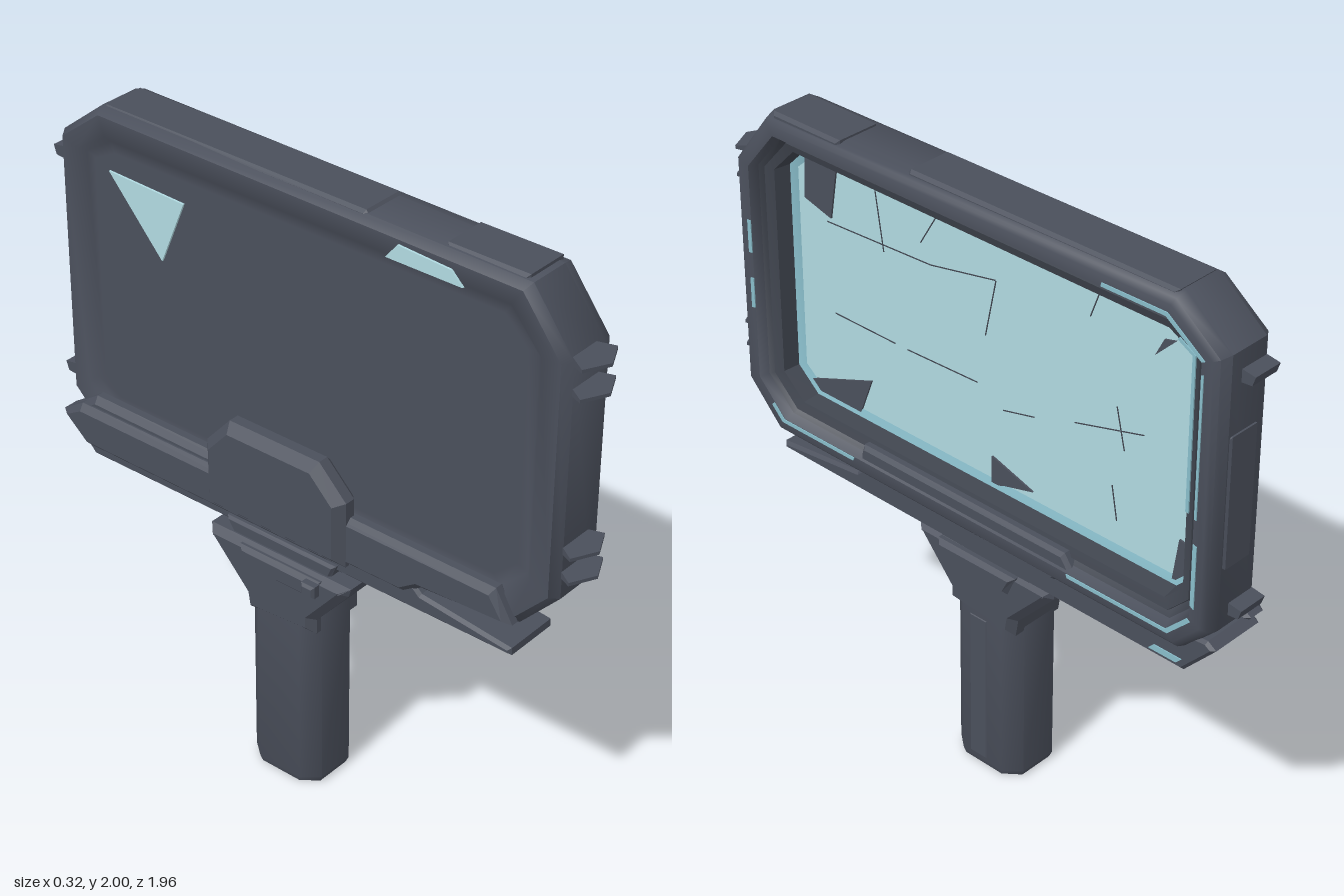
import * as THREE from 'three';
import { toCreasedNormals } from 'three/addons/utils/BufferGeometryUtils.js';

const material = (name, color) => {
  const m = new THREE.MeshStandardMaterial({ color });
  m.name = name;
  return m;
};

// Outlines of the display, as [s, y] with s = -z, counter-clockwise seen from +x
const OUTER = [[-0.77, 0.9], [0.83, 0.9], [0.93, 1.0], [0.93, 1.87], [0.77, 1.995], [-0.76, 1.975], [-0.9, 1.79], [-0.9, 1.04]];
const INNER = [[-0.68, 1.03], [0.74, 1.03], [0.8, 1.09], [0.8, 1.82], [0.72, 1.86], [-0.68, 1.86], [-0.76, 1.78], [-0.76, 1.1]];
const mix = (a, b, t) => [a[0] + (b[0] - a[0]) * t, a[1] + (b[1] - a[1]) * t];
const ring = (t) => OUTER.map((p, i) => mix(p, INNER[i], t));
// Point at a fractional corner number k, on the ring t
const along = (k, t) => {
  const r = ring(t), i = Math.floor(k);
  return mix(r[i % 8], r[(i + 1) % 8], k - i);
};

// Skin over a series of closed rings, with optional end caps
function loft(rings, capStart, capEnd, crease = 0.7) {
  const pos = [];
  const tri = (...pts) => pts.forEach((p) => pos.push(...p));
  const n = rings[0].length;
  for (let j = 0; j < rings.length - 1; j++) {
    for (let i = 0; i < n; i++) {
      const k = (i + 1) % n, a = rings[j], b = rings[j + 1];
      tri(a[i], a[k], b[k]);
      tri(a[i], b[k], b[i]);
    }
  }
  const last = rings[rings.length - 1];
  for (let i = 1; i < n - 1; i++) {
    if (capStart) tri(rings[0][0], rings[0][i + 1], rings[0][i]);
    if (capEnd) tri(last[0], last[i], last[i + 1]);
  }
  const g = new THREE.BufferGeometry();
  g.setAttribute('position', new THREE.Float32BufferAttribute(pos, 3));
  g.computeVertexNormals();
  return toCreasedNormals(g, crease);
}

// Side outline [s, y] extruded from x0 to x1
function slab(points, x0, x1, bevel = 0) {
  const shape = new THREE.Shape(points.map((p) => new THREE.Vector2(...p)));
  const g = new THREE.ExtrudeGeometry(shape, {
    depth: x1 - x0 - 2 * bevel, bevelEnabled: bevel > 0, bevelThickness: bevel,
    bevelSize: bevel, bevelOffset: -bevel, bevelSegments: 1,
  });
  return g.translate(0, 0, x0 + bevel).rotateY(Math.PI / 2);
}

const rect = (s0, y0, s1, y1) => [[s0, y0], [s1, y0], [s1, y1], [s0, y1]];

export function createModel() {
  const model = new THREE.Group();
  model.name = 'handheldDisplay';
  const casing = material('slate casing', 0x4a4f5b);
  const dark = material('dark recess', 0x40454f);
  const glass = material('pale glass', 0xb0d9e0);
  const trim = material('cyan trim', 0x88bcc9);
  const add = (name, geometry, mat) => {
    const mesh = new THREE.Mesh(geometry, mat);
    mesh.name = name;
    model.add(mesh);
  };

  // Frame: profile [t, x] from the back panel round the outside to the bezel
  const profile = [[1, -0.035], [0.75, -0.035], [0.6, -0.055], [0.15, -0.055], [0, -0.025], [0, 0.11], [0.08, 0.145],
    [0.2, 0.158], [0.48, 0.158], [0.58, 0.13]];
  const toRing = ([t, x]) => ring(t).map(([s, y]) => [x, y, -s]);
  add('frame', loft(profile.map(toRing), true, false, 0.9), casing);
  add('innerBezel', loft([[0.58, 0.13], [0.7, 0.11], [0.72, 0.125], [0.94, 0.115], [1, 0.05]].map(toRing), false, false), dark);

  // Screen with a tinted border
  add('screen', slab(ring(1), 0.04, 0.05), glass);
  add('screenBorder', loft([[0.99, 0.06], [1.18, 0.052]].map(toRing), false, false), trim);

  // Broken corners and dark cracks on the screen
  const patches = [
    [[-0.76, 1.05], [-0.66, 1.03], [-0.5, 1.04], [-0.45, 1.17]],
    [[-0.71, 1.69], [-0.6, 1.66], [-0.57, 1.84], [-0.7, 1.85]],
    [[0.72, 1.04], [0.78, 1.05], [0.8, 1.17], [0.74, 1.18]],
    [[0.04, 1.03], [0.09, 1.05], [0.2, 1.08], [0.04, 1.13]],
    [[0.63, 1.72], [0.7, 1.79], [0.66, 1.78]],
  ];
  patches.forEach((p) => add('screenPatch', slab(p, 0.048, 0.056), casing));
  const cracks = [
    [-0.42, 1.82, -0.39, 1.63], [-0.62, 1.64, -0.2, 1.66], [-0.2, 1.66, 0.05, 1.71], [0.05, 1.71, 0.01, 1.52],
    [-0.6, 1.34, -0.35, 1.34], [-0.3, 1.34, -0.02, 1.35], [0.08, 1.3, 0.2, 1.33], [0.35, 1.38, 0.6, 1.45],
    [0.5, 1.5, 0.53, 1.37], [0.49, 1.24, 0.51, 1.13], [0.4, 1.74, 0.44, 1.85], [-0.18, 1.82, -0.24, 1.72],
  ];
  cracks.forEach(([s0, y0, s1, y1]) => {
    const len = Math.hypot(s1 - s0, y1 - y0), w = 0.003;
    const ds = -(y1 - y0) / len * w, dy = (s1 - s0) / len * w;
    add('crack', slab([[s0, y0], [s1, y1], [s1 + ds, y1 + dy], [s0 + ds, y0 + dy]], 0.048, 0.052), dark);
  });

  // Cyan strips set into the frame: corner numbers from, to, ring, width, front x
  const strips = [
    [3.0, 4.15, 0.38, 0.09, 0.161], [2.05, 2.3, 0.36, 0.1, 0.161], [2.4, 2.95, 0.4, 0.06, 0.161], [0.76, 1.9, 0.38, 0.09, 0.161],
    [7.6, 8.2, 0.38, 0.09, 0.161], [6.25, 6.4, 0.38, 0.1, 0.161], [6.52, 6.66, 0.38, 0.1, 0.161], [2.35, 3.6, 0.84, 0.08, 0.124],
  ];
  strips.forEach(([k0, k1, t, width, x]) => {
    const ks = [k0];
    for (let k = Math.floor(k0) + 1; k < k1; k++) ks.push(k);
    ks.push(k1);
    const outline = [...ks.map((k) => along(k, t)), ...ks.reverse().map((k) => along(k, t + width))];
    add('trimStrip', slab(outline, x - 0.008, x), trim);
  });

  // Armour plates on the edges of the frame
  add('topPlate', slab([[-0.25, 1.94], [0.74, 1.94], [0.76, 1.998], [-0.2, 1.99]], -0.03, 0.13, 0.01), casing);
  add('topFrontPlate', slab(rect(-0.74, 1.92, -0.47, 1.985), -0.02, 0.14, 0.01), casing);
  add('rearPlate', slab(rect(0.86, 1.2, 0.936, 1.62), -0.01, 0.11, 0.01), casing);
  add('bottomLip', slab([[-0.42, 0.94], [-0.38, 0.91], [0.36, 0.9], [0.45, 0.94], [0.4, 1.01], [-0.4, 1.01]], 0.05, 0.15, 0.012), casing);

  // Ledge beneath the display, tapering to a blade at the front
  add('lowerLedge', slab([[-0.78, 0.815], [0.82, 0.81], [0.93, 0.93], [0.9, 0.95], [0.4, 0.92], [-0.4, 0.93],
    [-0.46, 0.875], [-0.78, 0.84]], -0.08, 0.12, 0.01), casing);
  add('ledgeTrim', slab([[0.7, 0.83], [0.8, 0.83], [0.82, 0.85], [0.72, 0.85]], 0.116, 0.123), trim);

  // Back rail and bracket, softly stepped toward the middle
  add('backRail', slab([[-0.78, 0.92], [-0.46, 0.9], [-0.4, 0.86], [0.84, 0.86], [0.92, 0.95], [0.8, 1.03], [-0.72, 1.02]], -0.095, -0.03, 0.02), casing);
  add('rearRail', slab([[-0.15, 0.86], [0.82, 0.86], [0.92, 0.95], [0.84, 1.0], [-0.15, 1.0]], -0.12, -0.05, 0.02), casing);
  add('backBracket', slab([[-0.2, 0.86], [0.33, 0.86], [0.33, 1.08], [0.24, 1.18], [-0.1, 1.18], [-0.2, 1.08]], -0.125, -0.03, 0.03), casing);

  // Glass showing through the back
  add('backGlass', slab([[0.45, 1.79], [0.54, 1.575], [0.74, 1.8]], -0.042, -0.034), glass);
  add('backGlassChip', slab([[-0.56, 1.9], [-0.3, 1.9], [-0.34, 1.95], [-0.52, 1.94]], -0.062, -0.054), glass);

  // Pointed fins on the front edge
  const finRing = (y, h) => [[0, 0.85], [0.06, 0.85], [0.11, 0.94], [0.03, 0.98], [-0.05, 0.94]]
    .map(([x, z]) => [x, y + h * (z > 0.9 ? 0.3 : 1), z]).reverse();
  [1.79, 1.7, 1.2, 1.12].forEach((y) => add('frontFin', loft([finRing(y, -0.018), finRing(y, 0.018)], true, true, 0.3), casing));

  // Small hooks on the rear edge
  [1.79, 1.05].forEach((y) => add('rearHook', slab([[0.91, y - 0.02], [0.965, y - 0.015], [0.975, y + 0.015], [0.91, y + 0.025]], -0.03, 0.07), casing));

  // Neck and flared collar
  add('neck', slab([[-0.12, 0.74], [0.2, 0.74], [0.26, 0.84], [-0.16, 0.84]], -0.1, 0.09, 0.01), casing);
  add('collar', slab([[-0.1, 0.58], [0.16, 0.56], [0.17, 0.62], [0.31, 0.77], [0.31, 0.8], [-0.23, 0.8], [-0.22, 0.77],
    [-0.1, 0.63]], -0.13, 0.105, 0.025), casing);
  add('collarBlock', slab([[-0.12, 0.72], [0.15, 0.72], [0.18, 0.79], [-0.13, 0.79]], -0.14, 0.12, 0.015), casing);
  add('collarPin', slab(rect(-0.13, 0.745, -0.08, 0.785), -0.16, -0.12, 0.008), casing);

  // Handle: chamfered column with narrowed ends
  const column = (y, k) => [[-0.5, -0.3], [-0.5, 0.3], [-0.3, 0.5], [0.3, 0.5], [0.5, 0.3], [0.5, -0.3], [0.3, -0.5], [-0.3, -0.5]]
    .map(([u, v]) => [-0.02 + u * 0.215 * k, y, -0.03 + v * 0.265 * k]);
  add('handle', loft([column(0, 0.94), column(0.02, 1), column(0.62, 1), column(0.7, 0.95)], true, true, 0.9), casing);

  // Grip seams
  add('gripRib', slab(rect(-0.02, 0.03, 0.05, 0.56), 0.08, 0.09, 0.004), casing);
  [[0.07, 0.25], [0.36, 0.52]].forEach(([y0, y1]) => {
    add('gripSeam', slab(rect(0.09, y0, 0.095, y1), 0.072, 0.079), dark);
  });
  return model;
}
